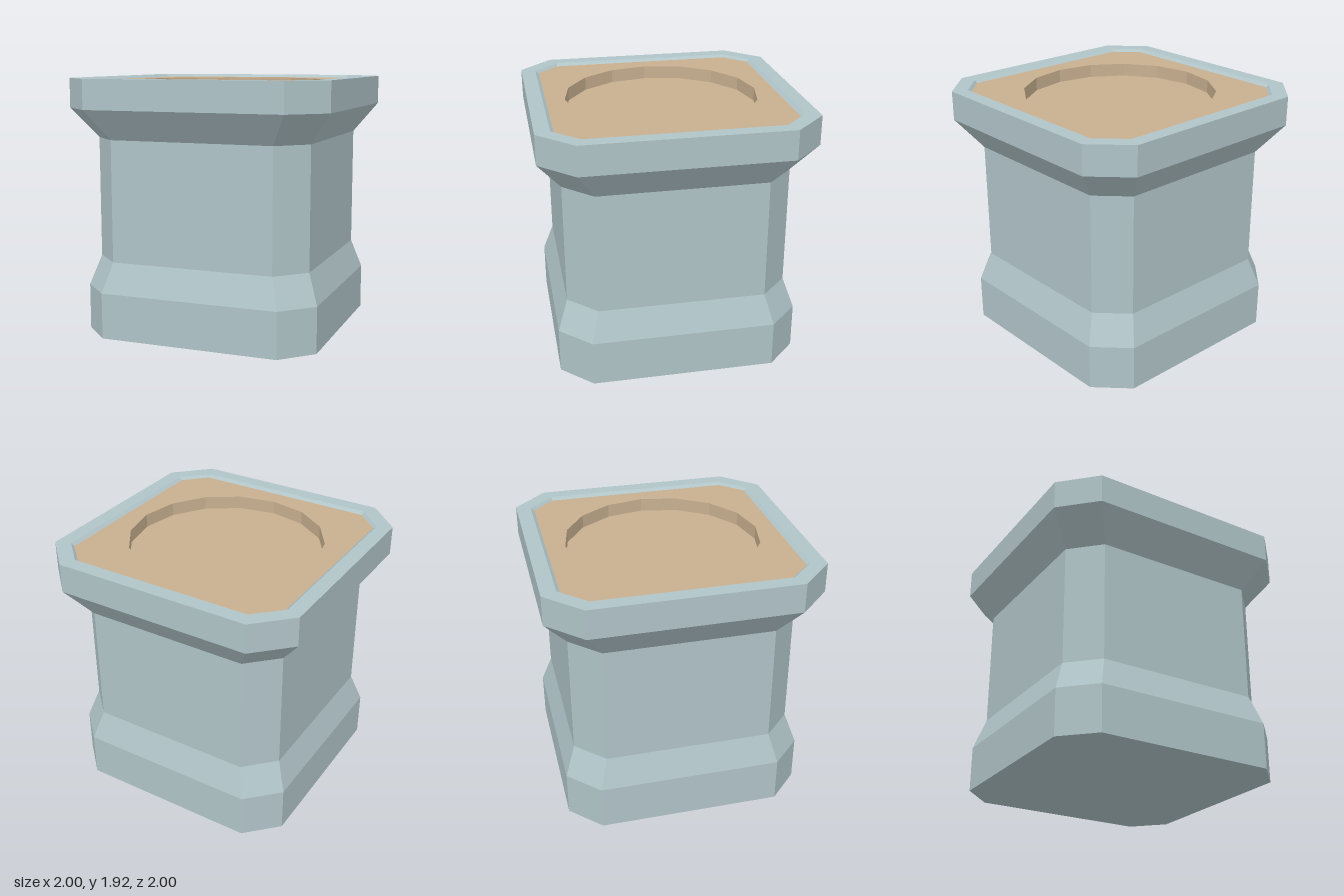
import * as THREE from 'three';

// Square outline with cut corners: half width h, straight edges reaching to c
const octagon = (h, c) => [[h, -c], [h, c], [c, h], [-c, h], [-h, c], [-h, -c], [-c, -h], [c, -h]];

const circle = (r, n) => Array.from({ length: n }, (_, i) => {
  const a = (i / n) * Math.PI * 2;
  return [r * Math.cos(a), r * Math.sin(a)];
});

// Flat-sided skin through a stack of outlines, each { y, points }
function loft(rings) {
  const pos = [];
  for (let k = 0; k < rings.length - 1; k++) {
    const lo = rings[k], hi = rings[k + 1], n = lo.points.length;
    for (let i = 0; i < n; i++) {
      const j = (i + 1) % n;
      const at = (r, m) => [r.points[m][0], r.y, r.points[m][1]];
      pos.push(...at(lo, i), ...at(hi, i), ...at(lo, j));
      pos.push(...at(lo, j), ...at(hi, i), ...at(hi, j));
    }
  }
  const g = new THREE.BufferGeometry();
  g.setAttribute('position', new THREE.Float32BufferAttribute(pos, 3));
  g.computeVertexNormals();
  return g;
}

// Horizontal face, optionally with a hole
function plate(points, y, up, hole) {
  const toV = (p) => new THREE.Vector2(p[0], p[1]);
  const shape = new THREE.Shape(points.map(toV));
  if (hole) shape.holes.push(new THREE.Path(hole.map(toV)));
  return new THREE.ShapeGeometry(shape).rotateX(up ? -Math.PI / 2 : Math.PI / 2).translate(0, y, 0);
}

export function createModel() {
  const stone = new THREE.MeshStandardMaterial({ color: 0xb0c4c8 });
  stone.name = 'blueGreyStone';
  const sand = new THREE.MeshStandardMaterial({ color: 0xc8b090 });
  sand.name = 'tanTop';

  const model = new THREE.Group();
  model.name = 'pedestal';
  const add = (name, geometry, material) => {
    const mesh = new THREE.Mesh(geometry, material);
    mesh.name = name;
    model.add(mesh);
  };

  const floorY = 1.905, pocketY = 1.805;

  // Plinth, column, flared cap and inner lip: y, half width, corner
  const profile = [
    [0, 0.907, 0.682], [0.345, 0.907, 0.682],
    [0.57, 0.83, 0.622], [1.48, 0.83, 0.622],
    [1.705, 1, 0.75], [1.925, 1, 0.75],
    [1.925, 0.89, 0.703], [floorY, 0.865, 0.7],
  ];
  add('body', loft(profile.map(([y, h, c]) => ({ y, points: octagon(h, c) }))), stone);
  add('underside', plate(octagon(0.907, 0.682), 0, false), stone);

  // Tan top with a round, shallow pocket
  const rim = circle(0.725, 16);
  add('topPanel', plate(octagon(0.865, 0.7), floorY, true, rim), sand);
  add('pocketWall', loft([{ y: floorY, points: rim }, { y: pocketY, points: rim }]), sand);
  add('pocketFloor', plate(rim, pocketY, true), sand);

  return model;
}
